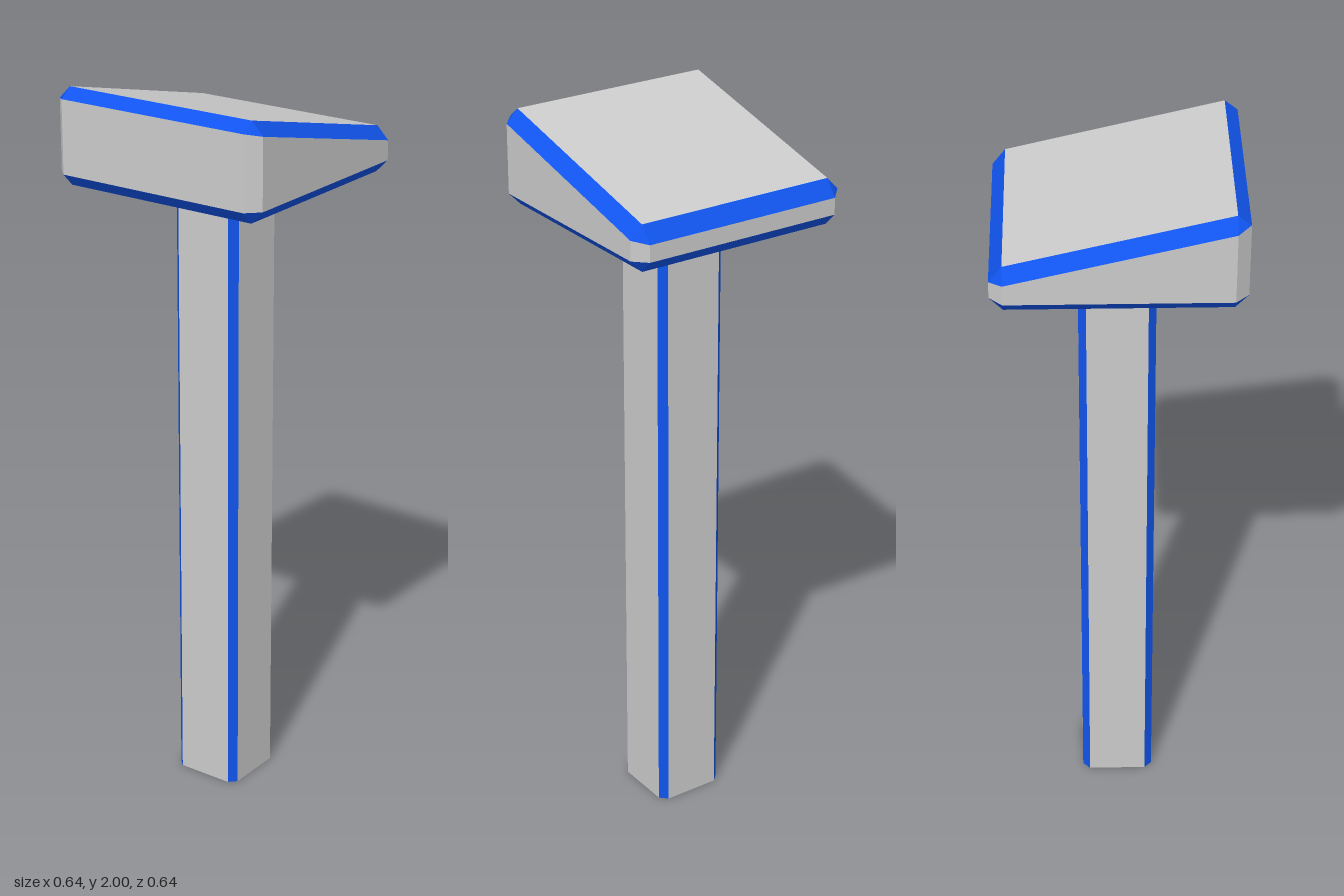
import * as THREE from 'three';

const GREY = new THREE.MeshStandardMaterial({ color: 0xcccccc, flatShading: true, side: THREE.DoubleSide });
const BLUE = new THREE.MeshStandardMaterial({ color: 0x1155ee, flatShading: true, side: THREE.DoubleSide });

// Square outline with cut corners: 8 points, even-numbered sides are the long ones
function ring(half, cut, height) {
  const h = half, c = half - cut;
  return [[-c, h], [c, h], [h, c], [h, -c], [c, -h], [-c, -h], [-h, -c], [-h, c]]
    .map(([x, z]) => new THREE.Vector3(x, height(x), z));
}

// Flat-shaded mesh from a list of triangles, dropping collapsed ones
function meshFrom(name, triangles, material) {
  const solid = triangles.filter((t) => new THREE.Triangle(...t).getArea() > 1e-7);
  const geometry = new THREE.BufferGeometry().setFromPoints(solid.flat());
  geometry.computeVertexNormals();
  const mesh = new THREE.Mesh(geometry, material);
  mesh.name = name;
  return mesh;
}

// Wall between two rings, limited to the sides that pass the test
function band(lower, upper, keep = () => true) {
  const triangles = [];
  for (let i = 0; i < 8; i++) {
    if (!keep(i)) continue;
    const j = (i + 1) % 8;
    triangles.push([lower[i], lower[j], upper[j]], [lower[i], upper[j], upper[i]]);
  }
  return triangles;
}

// Fan closing a ring, facing up or down
function cap(points, up) {
  const triangles = [];
  for (let i = 1; i < 7; i++) {
    triangles.push(up ? [points[0], points[i], points[i + 1]] : [points[0], points[i + 1], points[i]]);
  }
  return triangles;
}

export function createModel() {
  const model = new THREE.Group();
  model.name = 'slantedPost';

  // Post: hollow square column, open at the foot, with coloured corner chamfers
  const post = new THREE.Group();
  post.name = 'post';
  const foot = ring(0.1, 0.02, () => 0);
  const neck = ring(0.1, 0.02, () => 1.74);
  post.add(
    meshFrom('postSides', band(foot, neck, (i) => i % 2 === 0), GREY),
    meshFrom('postCorners', band(foot, neck, (i) => i % 2 === 1), BLUE),
  );

  // Head: bevelled block with a top sloping down toward +x
  const head = new THREE.Group();
  head.name = 'head';
  const base = ring(0.284, 0, () => 1.74);
  const low = ring(0.318, 0.034, () => 1.775);
  const high = ring(0.318, 0.034, (x) => 1.897 - 0.24 * x);
  const top = ring(0.284, 0, (x) => 1.932 - 0.24 * x);
  head.add(
    meshFrom('headUnderside', cap(base, false), GREY),
    meshFrom('lowerBevel', band(base, low), BLUE),
    meshFrom('headSides', band(low, high), GREY),
    meshFrom('upperBevel', band(high, top), BLUE),
    meshFrom('slopedTop', cap(top, true), GREY),
  );

  model.add(post, head);
  return model;
}
